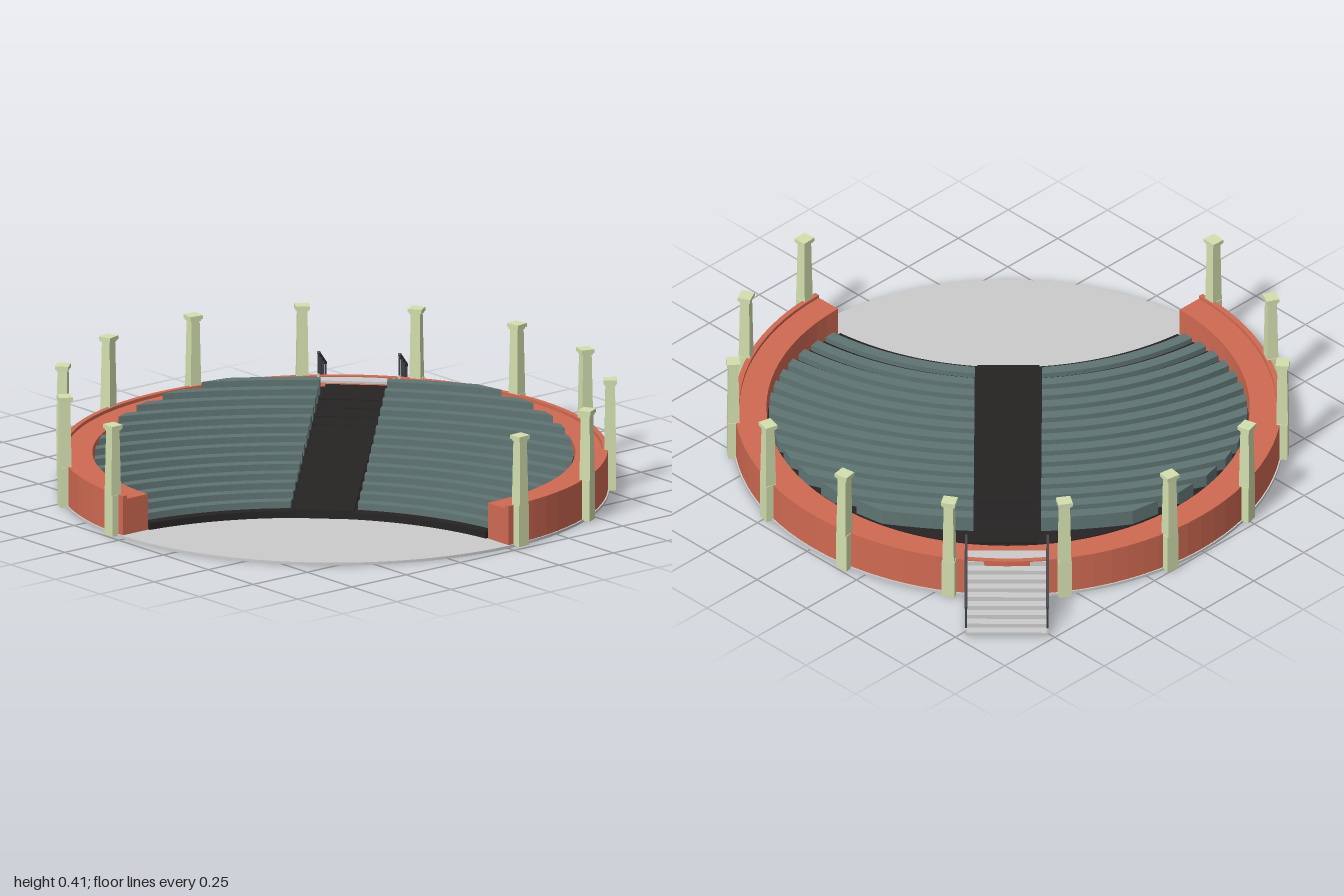
import * as THREE from 'three';

const WALL_IN = 0.86, FOCUS = 1.36; // wall inner radius, distance of the rows' centre from the ring's centre
const ROWS = 14, PITCH = 0.084, AISLE = 0.12;

const mat = (color) => new THREE.MeshStandardMaterial({ color, flatShading: true });
const brick = mat(0xd06a52), stone = mat(0xd3dfae), bench = mat(0x5f7573);
const dark = mat(0x262323), grey = mat(0xcccccc), iron = mat(0x3c3e42);

// points on an arc about (cx, 0)
function arc(cx, r, from, to, n) {
  const pts = [];
  for (let i = 0; i <= n; i++) {
    const a = from + (to - from) * i / n;
    pts.push([cx + r * Math.cos(a), r * Math.sin(a)]);
  }
  return pts;
}

// horizontal outline [x, z] raised from y0 to y1
function slab(pts, y0, y1) {
  const shape = new THREE.Shape(pts.map(([x, z]) => new THREE.Vector2(x, -z)));
  return new THREE.ExtrudeGeometry(shape, { depth: y1 - y0, bevelEnabled: false })
    .rotateX(-Math.PI / 2).translate(0, y0, 0);
}

// side profile [x, y] extruded across z0..z1
function profile(pts, z0, z1) {
  const shape = new THREE.Shape(pts.map(([x, y]) => new THREE.Vector2(x, y)));
  return new THREE.ExtrudeGeometry(shape, { depth: z1 - z0, bevelEnabled: false }).translate(0, 0, z0);
}

const box = (w, h, d, x, y, z) => new THREE.BoxGeometry(w, h, d).translate(x, y, z);

function add(parent, name, geometry, material) {
  const mesh = new THREE.Mesh(geometry, material);
  mesh.name = name;
  parent.add(mesh);
  return mesh;
}

// half-angle at which a row of radius r meets a circle of radius R
const meet = (r, R) => Math.acos((r * r + FOCUS * FOCUS - R * R) / (2 * r * FOCUS));

// ring sector open towards -x
function ring(inner, outer, y0, y1) {
  const e = Math.PI * 0.75;
  return slab([...arc(0, outer, -e, e, 72), ...arc(0, inner, e, -e, 72)], y0, y1);
}

function createColumn() {
  const g = new THREE.Group();
  g.name = 'column';
  add(g, 'columnBase', box(0.04, 0.15, 0.047, 0, 0.079, 0), stone);
  const shaft = new THREE.CylinderGeometry(0.017 * Math.SQRT2, 0.021 * Math.SQRT2, 0.24, 4)
    .rotateY(Math.PI / 4).translate(0, 0.274, 0);
  add(g, 'columnShaft', shaft, stone);
  add(g, 'columnNeck', box(0.04, 0.008, 0.042, 0, 0.394, 0), stone);
  add(g, 'columnCapital', box(0.048, 0.014, 0.052, 0, 0.404, 0), stone);
  return g;
}

function createStairs() {
  const g = new THREE.Group();
  g.name = 'stairs';
  const n = 9, x0 = 0.94, x1 = 1.22, top = 0.15, half = 0.145;
  // stepped flight
  const pts = [[0.9, 0.005], [0.9, top]];
  for (let i = 0; i < n; i++) {
    const y = top * (1 - i / n), x = x0 + (x1 - x0) * (i + 1) / n;
    pts.push([x, y], [x, Math.max(0.005, top * (1 - (i + 1) / n))]);
  }
  add(g, 'stairFlight', profile(pts, -half, half), grey);
  // side panels and railings
  const slope = Math.atan2(0.12, x1 - x0);
  for (const s of [-1, 1]) {
    const z = s * half;
    const panel = [[x0, 0.005], [x1, 0.005], [x1, 0.03], [x0, 0.165]];
    add(g, 'stairPanel', profile(panel, z - 0.004, z + 0.004), grey);
    const rail = new THREE.BoxGeometry(Math.hypot(x1 - x0, 0.12), 0.008, 0.01);
    rail.rotateZ(-slope).translate((x0 + x1) / 2, 0.184, z);
    add(g, 'handrail', rail, iron);
    for (const t of [0.04, 0.35, 0.66, 0.97]) {
      const yTop = 0.244 - 0.12 * t, yBottom = 0.15 - 0.135 * t;
      const x = x0 + (x1 - x0) * t;
      add(g, 'railPost', box(0.007, yTop - yBottom, 0.007, x, (yTop + yBottom) / 2, z), iron);
    }
  }
  return g;
}

export function createModel() {
  const model = new THREE.Group();
  model.name = 'amphitheatre';
  // everything is built along +x, then turned to the diagonal
  const g = new THREE.Group();
  g.name = 'arena';
  g.rotation.y = Math.PI / 4;
  g.position.set(0.005, 0, -0.013);
  model.add(g);

  add(g, 'stageFloor', new THREE.CylinderGeometry(0.98, 0.98, 0.01, 96).translate(0, 0.005, 0), grey);

  // three-quarter wall with a raised outer rim
  add(g, 'wall', ring(WALL_IN, 0.956, 0.01, 0.142), brick);
  add(g, 'wallRim', ring(0.956, 0.975, 0.01, 0.154), brick);

  // terraces and curved benches on both sides of the aisle
  let below = 0.01;
  for (let i = 0; i < ROWS; i++) {
    const floor = 0.035 + 0.0083 * i, r = 0.96 + PITCH * i;
    const R = WALL_IN - 0.004, p = meet(r, R);
    const a = Math.atan2(r * Math.sin(p), r * Math.cos(p) - FOCUS);
    const outline = [...arc(-FOCUS, r, -p, p, 32), ...arc(0, R, a, -a, 48)];
    add(g, 'terrace', slab(outline, below, floor), dark);
    below = floor;

    const r0 = r + 0.04, r1 = r0 + 0.041, Rb = WALL_IN - 0.008;
    for (const s of [-1, 1]) {
      const row = [
        ...arc(-FOCUS, r0, s * Math.asin(AISLE / r0), s * meet(r0, Rb), 16),
        ...arc(-FOCUS, r1, s * meet(r1, Rb), s * Math.asin(AISLE / r1), 16),
      ];
      add(g, 'benchRow', slab(row, floor, 0.06 + 0.0108 * i), bench);
    }
  }

  // sloping aisle
  const ramp = [[-0.405, 0.01], [0.85, 0.01], [0.85, 0.152], [-0.405, 0.042]];
  add(g, 'aisle', profile(ramp, -0.11, 0.11), dark);

  // twelve columns around the wall
  for (let i = 0; i < 12; i++) {
    const a = THREE.MathUtils.degToRad(-132.2 + 24.04 * i);
    const column = createColumn();
    column.position.set(0.983 * Math.cos(a), 0, 0.983 * Math.sin(a));
    column.rotation.y = -a;
    g.add(column);
  }

  g.add(createStairs());
  return model;
}
